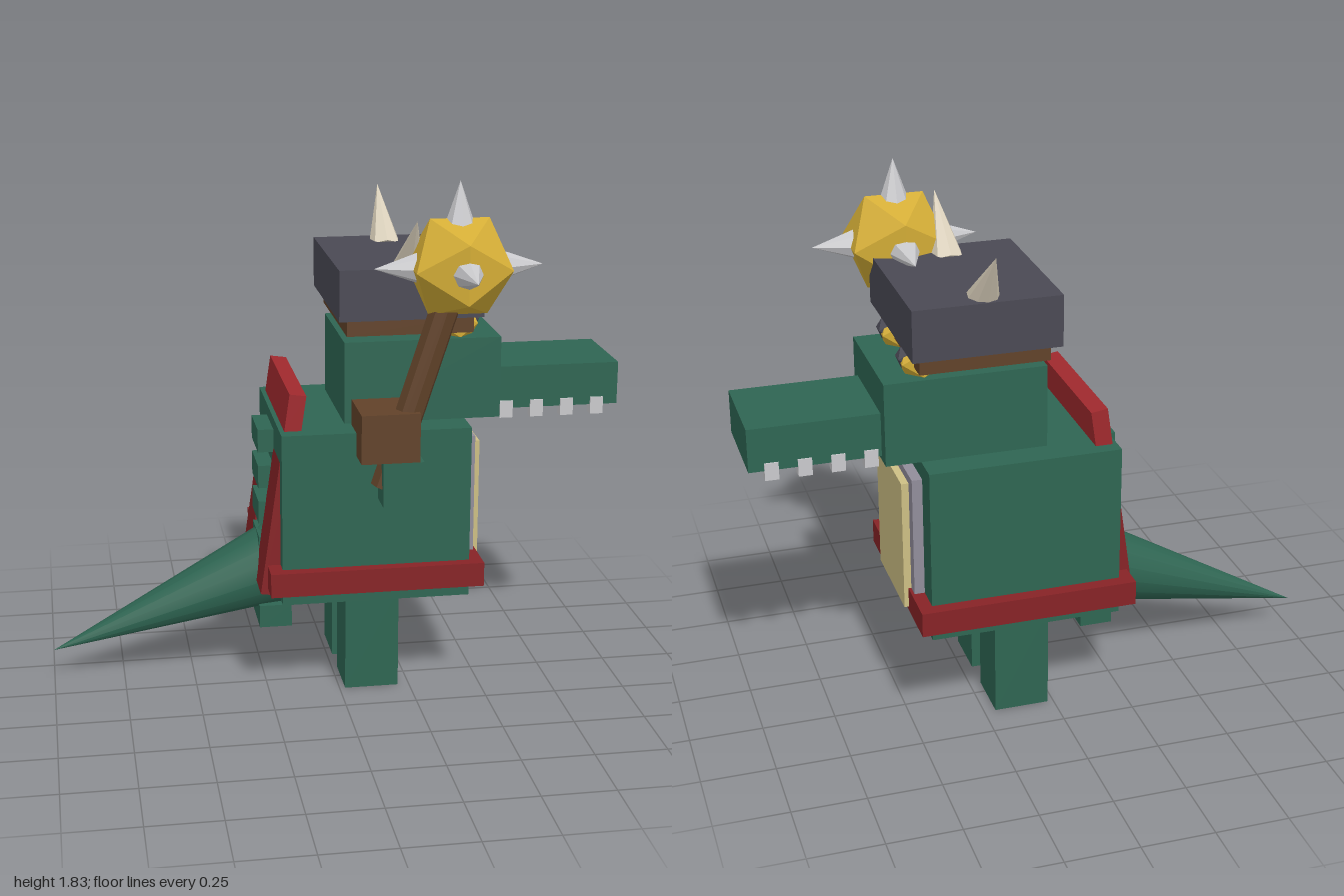
import * as THREE from 'three';

const mat = (name, color, flatShading = true) => {
  const m = new THREE.MeshStandardMaterial({ color });
  m.name = name;
  m.flatShading = flatShading;
  return m;
};

export function createModel() {
  const root = new THREE.Group();
  const green = mat('green hide', 0x2e6552, false);
  const darkRed = mat('dark red cloth', 0x862326);
  const red = mat('red cloth', 0xa0292d);
  const cream = mat('cream belly', 0xcdbf84);
  const steel = mat('grey plate', 0x918d9a);
  const slate = mat('slate hat', 0x4a4954);
  const brown = mat('brown wood', 0x614229);
  const bone = mat('bone', 0xd9cfba);
  const silver = mat('silver', 0xc9c9cc);
  const gold = mat('gold', 0xd4ad36);
  const midZ = -0.135; // the body's own plane of symmetry

  const add = (name, geo, material, x = 0, y = 0, z = 0, parent = root) => {
    const m = new THREE.Mesh(geo, material);
    m.name = name;
    m.position.set(x, y, z);
    parent.add(m);
    return m;
  };
  // box given by its limits on each axis
  const box = (name, material, x0, x1, y0, y1, z0, z1, parent = root) =>
    add(name, new THREE.BoxGeometry(x1 - x0, y1 - y0, z1 - z0), material,
      (x0 + x1) / 2, (y0 + y1) / 2, (z0 + z1) / 2, parent);
  // cone or rod running between two points
  const rod = (name, material, from, to, r0, r1, sides) => {
    const a = new THREE.Vector3(...from), b = new THREE.Vector3(...to);
    const d = b.clone().sub(a);
    const m = add(name, new THREE.CylinderGeometry(r1, r0, d.length(), sides), material);
    m.position.copy(a).add(b).multiplyScalar(0.5);
    m.quaternion.setFromUnitVectors(new THREE.Vector3(0, 1, 0), d.normalize());
    return m;
  };

  // Body and clothing
  box('body', green, -0.21, 0.445, 0.36, 0.97, -0.445, 0.18);
  box('belt', darkRed, -0.255, 0.49, 0.405, 0.49, -0.49, 0.22);
  box('chestPlate', steel, 0.44, 0.48, 0.43, 0.91, -0.35, 0.085);
  box('bellyPlate', cream, 0.475, 0.505, 0.42, 0.88, -0.305, 0.045);

  // Tilted harness on the back: collar bar over two straps
  const harness = new THREE.Group();
  harness.name = 'backHarness';
  harness.position.set(-0.28, 0.385, midZ);
  harness.rotation.z = -0.146;
  root.add(harness);
  box('collarBar', red, 0, 0.058, 0.59, 0.723, -0.262, 0.262, harness);
  for (const s of [-1, 1]) {
    const z = s * 0.175;
    box('backStrap', darkRed, 0, 0.056, 0, 0.59, z - 0.087, z + 0.087, harness);
  }

  // Spine ridges
  for (let i = 0; i < 6; i++) {
    const y = 0.229 + i * 0.1317;
    box('spineRidge', green, -0.265, -0.15, y - 0.041, y + 0.041, midZ - 0.092, midZ + 0.092);
  }

  // Tail
  rod('tail', green, [-0.04, 0.461, midZ], [-1, 0.11, midZ], 0.175, 0, 16);

  // Head, snout and hat
  box('head', green, 0.02, 0.565, 0.975, 1.26, -0.355, 0.08);
  box('snout', green, 0.56, 1.0, 0.99, 1.14, -0.302, 0.03);
  box('hatBand', brown, 0.02, 0.455, 1.293, 1.35, -0.39, 0.13);
  box('hat', slate, -0.01, 0.485, 1.35, 1.525, -0.425, 0.155);

  // Paired parts on both sides of the body
  for (const s of [-1, 1]) {
    const at = (d) => midZ + s * d;
    box('leg', green, 0.02, 0.21, 0, 0.365, at(0.149) - 0.094, at(0.149) + 0.094);
    add('eye', new THREE.IcosahedronGeometry(0.078, 0), gold, 0.425, 1.3, at(0.132));
    add('pupil', new THREE.IcosahedronGeometry(0.042, 0), slate, 0.463, 1.312, at(0.132));
    rod('horn', bone, [0.235, 1.495, at(0.205)], [0.235, 1.698, at(0.368)], 0.06, 0, 8);
    for (let i = 0; i < 4; i++) {
      const x = 0.6 + i * 0.1085;
      box('tooth', silver, x - 0.023, x + 0.023, 0.957, 1.017, at(0.154) - 0.018, at(0.154) + 0.018);
    }
  }

  // Weapon arm
  box('arm', green, 0.12, 0.26, 0.735, 0.89, 0.17, 0.285);
  box('shoulderPad', brown, 0.045, 0.245, 0.89, 1.06, 0.08, 0.285);

  // Spiked mace
  const c = [0.38, 1.54, 0.215];
  rod('maceHandle', brown, [0.136, 0.787, 0.22], c, 0.05, 0.05, 8);
  add('maceHead', new THREE.IcosahedronGeometry(0.19, 0), gold, ...c);
  for (const d of [[1, 0, 0], [-1, 0, 0], [0, 1, 0], [0, 0, 1], [0, 0, -1]]) {
    const along = (r) => c.map((v, i) => v + d[i] * r);
    rod('maceSpike', silver, along(0.12), along(0.285), 0.058, 0, 8);
  }

  return root;
}
